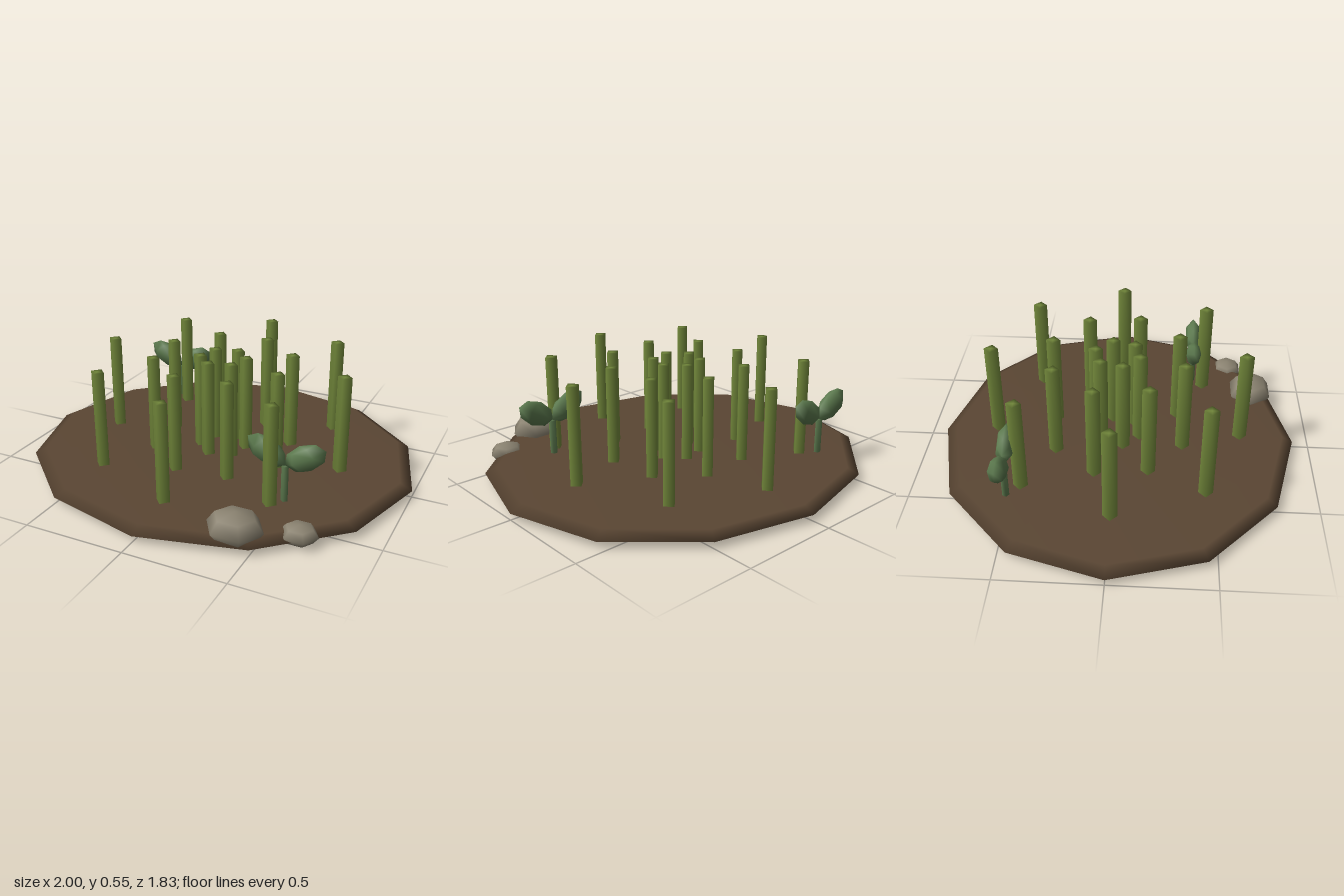
import * as THREE from 'three';

const mat = (name, color, extra = {}) => {
  const m = new THREE.MeshStandardMaterial({ color, ...extra });
  m.name = name;
  return m;
};

export function createModel() {
  const soil = mat('soil brown', 0x5a4633);
  const reed = mat('reed green', 0x748a3c);
  const leaf = mat('leaf green', 0x5c7a4e);
  const rock = mat('stone grey', 0x8a8270);

  const model = new THREE.Group();
  model.name = 'reedPatch';

  const add = (parent, name, geometry, material, x, y, z) => {
    const mesh = new THREE.Mesh(geometry, material);
    mesh.name = name;
    mesh.position.set(x, y, z);
    parent.add(mesh);
    return mesh;
  };

  // Closed turned solid with softly shaded rims
  const turned = (points, sides) =>
    new THREE.LatheGeometry(points.map(([r, y]) => new THREE.Vector2(r, y)), sides);
  const rod = (r, h, sides) => turned([[0, 0], [r, 0], [r, h], [0, h]], sides);

  // Twelve-sided mound of soil, slightly shallower than wide
  const ground = add(model, 'ground',
    turned([[0, 0], [0.94, 0], [1, 0.03], [0.94, 0.06], [0, 0.06]], 12), soil, 0, 0, 0);
  ground.scale.z = 0.915;

  // Three rings of square stalks
  const stalks = new THREE.Group();
  stalks.name = 'stalks';
  model.add(stalks);
  const stalkGeometry = rod(0.036, 0.495, 4);
  const rings = [[6, 0.117, 45], [8, 0.35, 16.6], [8, 0.635, 0]]; // count, radius, start angle
  for (const [count, radius, start] of rings) {
    for (let i = 0; i < count; i++) {
      const a = THREE.MathUtils.degToRad(start + (i * 360) / count);
      add(stalks, 'stalk', stalkGeometry, reed, Math.cos(a) * radius, 0.057, Math.sin(a) * radius);
    }
  }

  // Two seedlings, each a thin stem with a mirrored pair of leaves
  const stemGeometry = rod(0.018, 0.18, 5);
  const leafGeometry = new THREE.SphereGeometry(1, 6, 4);
  for (const [x, z] of [[-0.52, -0.51], [0.5, 0.39]]) {
    const seedling = new THREE.Group();
    seedling.name = 'seedling';
    seedling.position.set(x, 0, z);
    model.add(seedling);
    add(seedling, 'stem', stemGeometry, leaf, 0, 0.057, 0);
    for (const side of [-1, 1]) {
      const blade = add(seedling, 'leaf', leafGeometry, leaf, side * 0.093, 0.297, 0);
      blade.scale.set(0.11, 0.063, 0.046);
      blade.rotation.z = side * 0.52;
    }
  }

  // Stones on the front rim
  const stoneGeometry = new THREE.SphereGeometry(1, 6, 4);
  for (const [x, y, z, rx, ry, rz] of [
    [0.4, 0.075, 0.715, 0.137, 0.077, 0.122],
    [0.655, 0.045, 0.6, 0.09, 0.046, 0.083],
  ]) {
    add(model, 'stone', stoneGeometry, rock, x, y, z).scale.set(rx, ry, rz);
  }

  return model;
}
